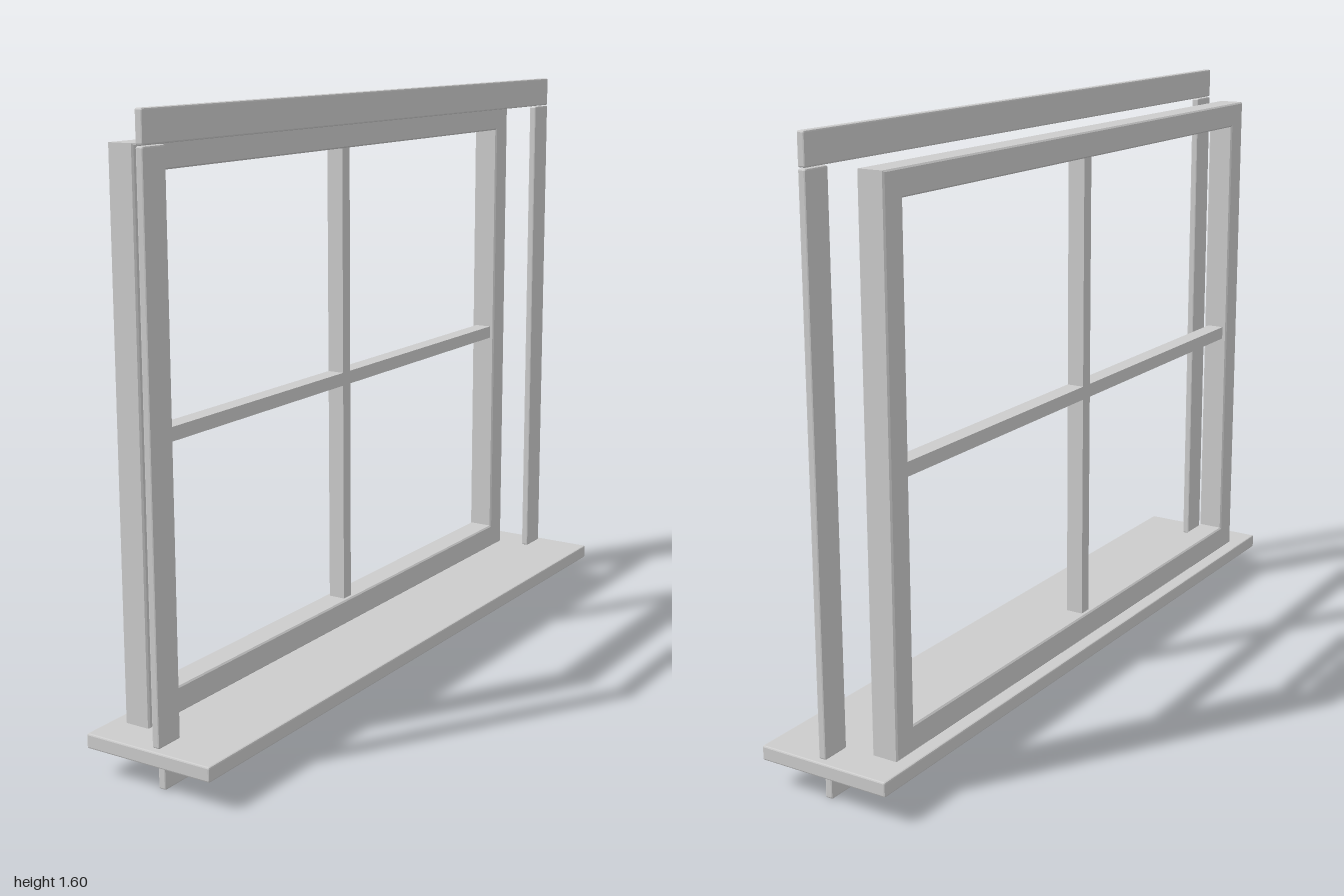
import * as THREE from 'three';
import { RoundedBoxGeometry } from 'three/addons/geometries/RoundedBoxGeometry.js';

const material = new THREE.MeshStandardMaterial({ color: 0xcccccc, flatShading: true });
const BEVEL = 0.004;

// Closed outline from [z, y] corner pairs
const outline = (points, Type = THREE.Shape) =>
  new Type(points.map(([z, y]) => new THREE.Vector2(z, y)));

const rectangle = (halfZ, y0, y1) => [[-halfZ, y0], [halfZ, y0], [halfZ, y1], [-halfZ, y1]];

export function createModel() {
  const group = new THREE.Group();
  group.name = 'window';

  const add = (name, geometry) => {
    const mesh = new THREE.Mesh(geometry, material);
    mesh.name = name;
    group.add(mesh);
    return mesh;
  };

  // Board with slightly eased edges, given by its extents
  const board = (name, [x0, x1], [y0, y1], [z0, z1]) =>
    add(name, new RoundedBoxGeometry(x1 - x0, y1 - y0, z1 - z0, 1, BEVEL))
      .position.set((x0 + x1) / 2, (y0 + y1) / 2, (z0 + z1) / 2);

  // Outline in the z-y plane, extruded along x about the sash centre
  const sashX = -0.11;
  const slab = (name, shape, depth, bevel) => {
    const geometry = new THREE.ExtrudeGeometry(shape, {
      depth: depth - 2 * bevel, bevelEnabled: bevel > 0, bevelThickness: bevel,
      bevelSize: bevel, bevelOffset: -bevel, bevelSegments: 1,
    });
    geometry.translate(0, 0, bevel - depth / 2).rotateY(Math.PI / 2);
    add(name, geometry).position.x = sashX;
  };

  // Sash frame with one large opening
  const frame = outline(rectangle(0.9, 0.11, 1.515));
  frame.holes.push(outline(rectangle(0.83, 0.18, 1.447).reverse(), THREE.Path));
  slab('sashFrame', frame, 0.074, BEVEL);

  // Cross-shaped glazing bars
  const w = 0.018, mid = 0.814, bottom = 0.18, top = 1.447, side = 0.83;
  slab('glazingBars', outline([
    [-w, bottom], [w, bottom], [w, mid - w], [side, mid - w], [side, mid + w], [w, mid + w],
    [w, top], [-w, top], [-w, mid + w], [-side, mid + w], [-side, mid - w], [-w, mid - w],
  ]), 0.048, 0);

  // Sill and the thin casing around the window
  const casingX = [0.003, 0.024];
  board('sill', [-0.184, 0.184], [0.073, 0.111], [-1, 1]);
  board('apron', casingX, [0, 0.073], [-0.962, 0.962]);
  board('headCasing', casingX, [1.519, 1.6], [-0.982, 0.982]);
  board('leftSideCasing', casingX, [0.111, 1.517], [0.902, 0.982]);
  board('rightSideCasing', casingX, [0.111, 1.517], [-0.982, -0.902]);

  return group;
}
